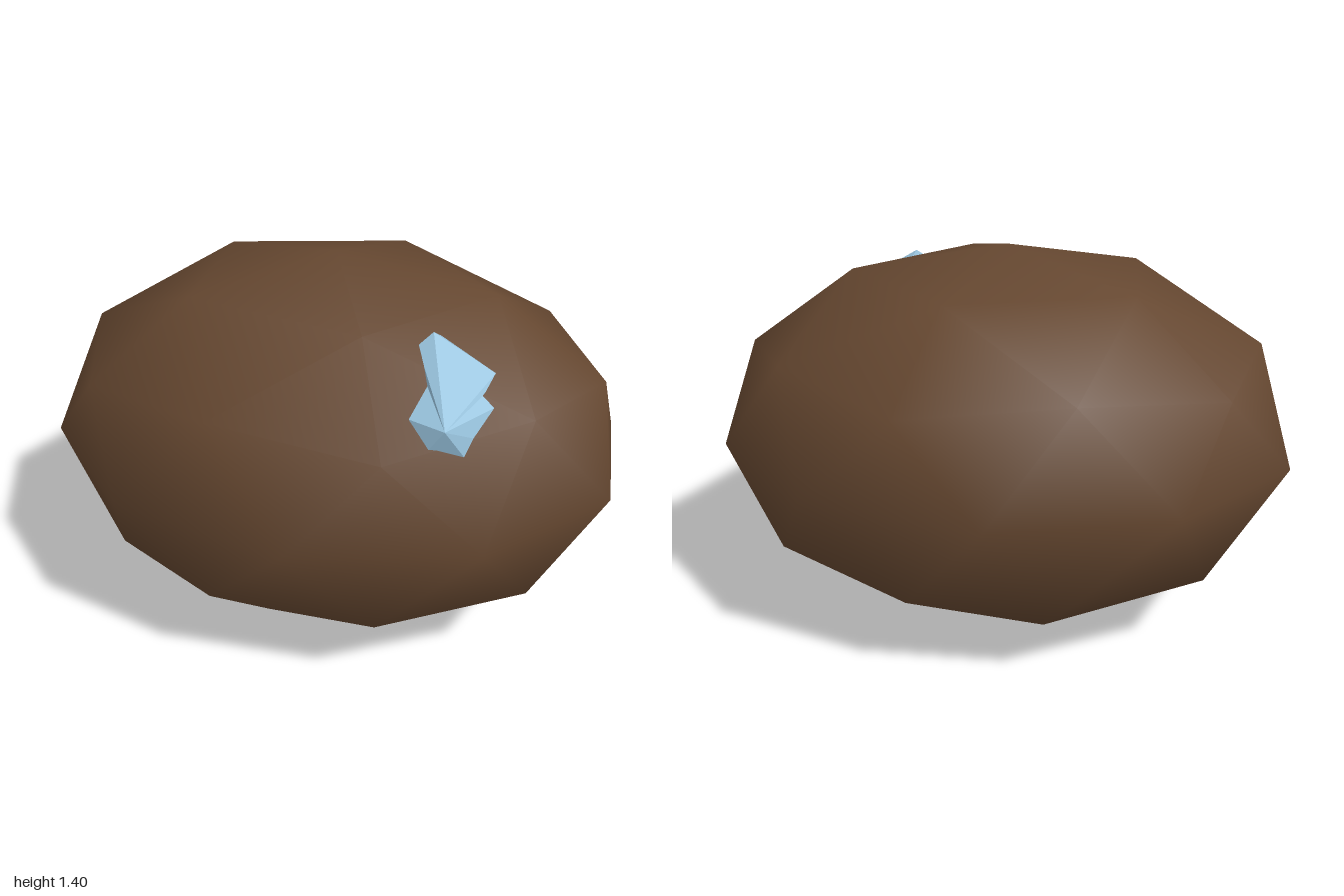
import * as THREE from 'three';

const brown = new THREE.MeshStandardMaterial({ color: 0x654730 });
brown.name = 'earthBrown';
const blue = new THREE.MeshStandardMaterial({ color: 0x98c3dd, flatShading: true });
blue.name = 'iceBlue';

// Smooth low-poly boulder: icosphere with a pole up, stretched along x
function createBoulder() {
  const geometry = new THREE.IcosahedronGeometry(1, 1);
  geometry.rotateX(-Math.atan((1 + Math.sqrt(5)) / 2)); // bring a corner to +y
  geometry.rotateY(Math.PI / 2); // upper ring corner towards +x
  geometry.scale(1.0515, 0.7, 0.79);
  geometry.translate(0, 0.7, 0);
  const mesh = new THREE.Mesh(geometry, brown);
  mesh.name = 'boulder';
  return mesh;
}

// Faceted crystal poking out of the upper front of the boulder
function createCrystal() {
  const peak = [0.465, 1.108, 0.588];
  const crest = [0.38, 1.289, 0.3];
  const root = [0.4, 1.0, 0.36]; // buried tip
  // Rim where the crystal meets the boulder, counterclockwise from outside
  const rim = [
    [0.335, 1.25, 0.33], [0.367, 1.187, 0.4], [0.337, 1.105, 0.53],
    [0.417, 1.035, 0.582], [0.524, 1.0, 0.544], [0.545, 1.05, 0.51],
    [0.594, 1.107, 0.412], [0.558, 1.137, 0.39], [0.583, 1.17, 0.305],
    [0.4, 1.257, 0.258],
  ];
  const last = rim.length - 2;
  const triangles = [
    [peak, crest, rim[0]], [peak, rim[last], crest],
    [crest, rim[last], rim[last + 1]], [crest, rim[last + 1], rim[0]],
  ];
  for (let i = 0; i < last; i++) triangles.push([peak, rim[i], rim[i + 1]]);
  rim.forEach((p, i) => triangles.push([rim[(i + 1) % rim.length], p, root]));

  const geometry = new THREE.BufferGeometry();
  geometry.setAttribute('position', new THREE.Float32BufferAttribute(triangles.flat(2), 3));
  geometry.computeVertexNormals();
  const mesh = new THREE.Mesh(geometry, blue);
  mesh.name = 'crystal';
  return mesh;
}

export function createModel() {
  const group = new THREE.Group();
  group.name = 'boulderWithCrystal';
  group.add(createBoulder(), createCrystal());
  return group;
}
